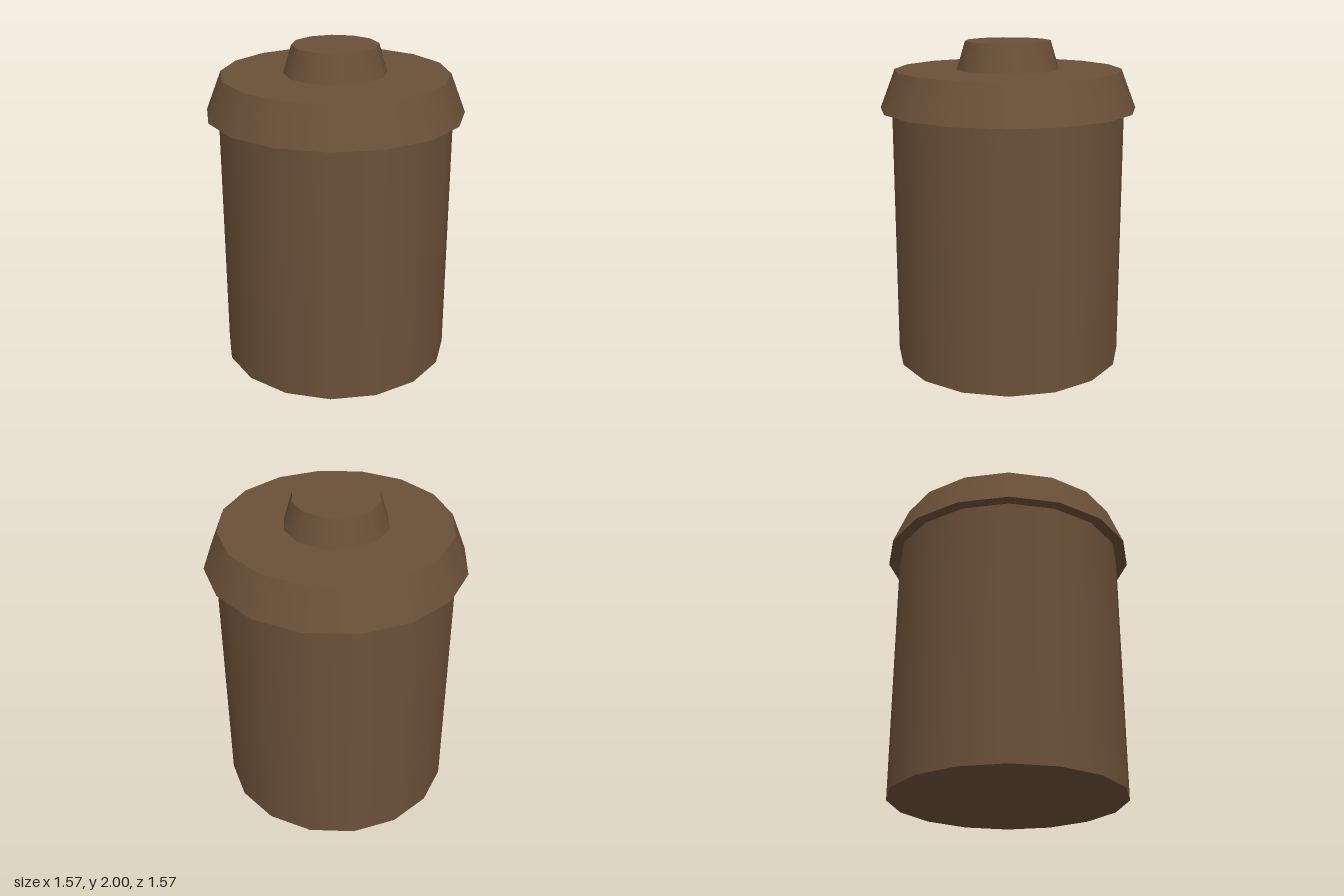
import * as THREE from 'three';

export function createModel() {
  const group = new THREE.Group();
  const brown = new THREE.MeshStandardMaterial({ color: 0x6b5038 });
  brown.name = 'brown';

  // Closed round section standing between two heights, smooth around its side
  function section(name, rTop, rBottom, y0, y1, sides) {
    const mesh = new THREE.Mesh(
      new THREE.CylinderGeometry(rTop, rBottom, y1 - y0, sides), brown);
    mesh.position.y = (y0 + y1) / 2;
    mesh.name = name;
    group.add(mesh);
  }

  section('body', 0.715, 0.715, 0, 1.592, 16);
  section('lid', 0.692, 0.785, 1.592, 1.83, 16);
  section('knob', 0.262, 0.314, 1.83, 2, 12);

  return group;
}
